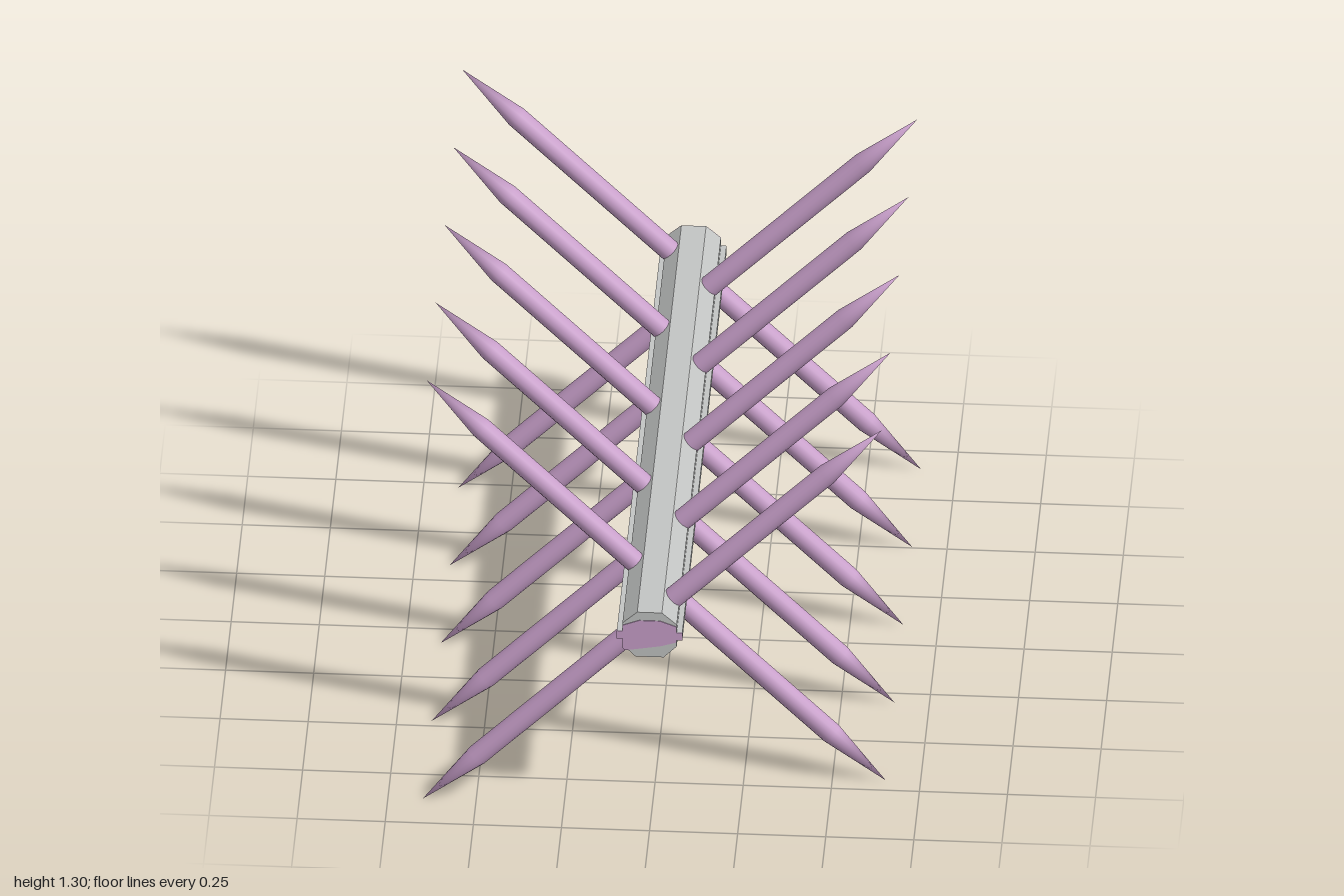
import * as THREE from 'three';
import { mergeVertices } from 'three/addons/utils/BufferGeometryUtils.js';

const pink = new THREE.MeshStandardMaterial({ color: 0xc9a0cb });
pink.name = 'mauve';
const grey = new THREE.MeshStandardMaterial({ color: 0xc3c5c4 });
grey.name = 'grey';

const LENGTH = 2;
const STAKE_Y = 0.653;

function outline(points) {
  return new THREE.Shape(points.map(([x, y]) => new THREE.Vector2(x, y)));
}

// Prism along z, centred on z
function prism(points, depth, z, material, name) {
  const geo = new THREE.ExtrudeGeometry(outline(points), { depth, bevelEnabled: false });
  geo.translate(0, 0, z - depth / 2);
  const mesh = new THREE.Mesh(geo, material);
  mesh.name = name;
  return mesh;
}

// Rod pointed at both ends, smooth across shoulders and tips
function stakeGeometry() {
  const r = 0.031, tip = 0.921, shoulder = 0.703;
  const profile = [[0, -tip], [r, -shoulder], [r, shoulder], [0, tip]]
    .map(([x, y]) => new THREE.Vector2(x, y));
  let geo = new THREE.LatheGeometry(profile, 16);
  geo.deleteAttribute('normal');
  geo.deleteAttribute('uv');
  geo = mergeVertices(geo, 1e-4);
  geo.computeVertexNormals();
  return geo;
}

export function createModel() {
  const model = new THREE.Group();
  model.name = 'spikedRoller';

  // Octagonal bar with a narrow flange on each side
  const bar = [
    [-0.04, 0.59], [0.04, 0.59], [0.077, 0.628], [0.077, 0.65], [0.093, 0.65],
    [0.093, 0.676], [0.077, 0.676], [0.077, 0.702], [0.035, 0.74], [-0.035, 0.74],
    [-0.077, 0.702], [-0.077, 0.676], [-0.093, 0.676], [-0.093, 0.65],
    [-0.077, 0.65], [-0.077, 0.628],
  ];
  model.add(prism(bar, LENGTH - 0.004, 0, grey, 'bar'));

  // Painted bar ends
  const frontCap = [
    [-0.069, 0.611], [0.03, 0.628], [0.077, 0.643], [0.077, 0.65], [0.093, 0.65],
    [0.093, 0.676], [0.077, 0.676], [0.077, 0.695], [0.03, 0.713], [-0.03, 0.713],
    [-0.077, 0.695], [-0.077, 0.676], [-0.093, 0.676], [-0.093, 0.65],
    [-0.077, 0.65], [-0.077, 0.62],
  ];
  const backCap = [
    [-0.06, 0.611], [0.06, 0.611], [0.077, 0.628], [0.077, 0.702],
    [0.04, 0.735], [-0.04, 0.735], [-0.077, 0.702], [-0.077, 0.628],
  ];
  model.add(prism(frontCap, 0.002, LENGTH / 2 - 0.001, pink, 'frontCap'));
  model.add(prism(backCap, 0.002, -LENGTH / 2 + 0.001, pink, 'backCap'));

  // Five pairs of crossed stakes through the bar
  const geo = stakeGeometry();
  for (let i = 0; i < 5; i++) {
    for (const [z, angle] of [[-0.905, Math.PI / 4], [-0.729, -Math.PI / 4]]) {
      const stake = new THREE.Mesh(geo, pink);
      stake.name = 'stake';
      stake.position.set(0, STAKE_Y, z + i * 0.401);
      stake.rotation.z = angle;
      model.add(stake);
    }
  }
  return model;
}
